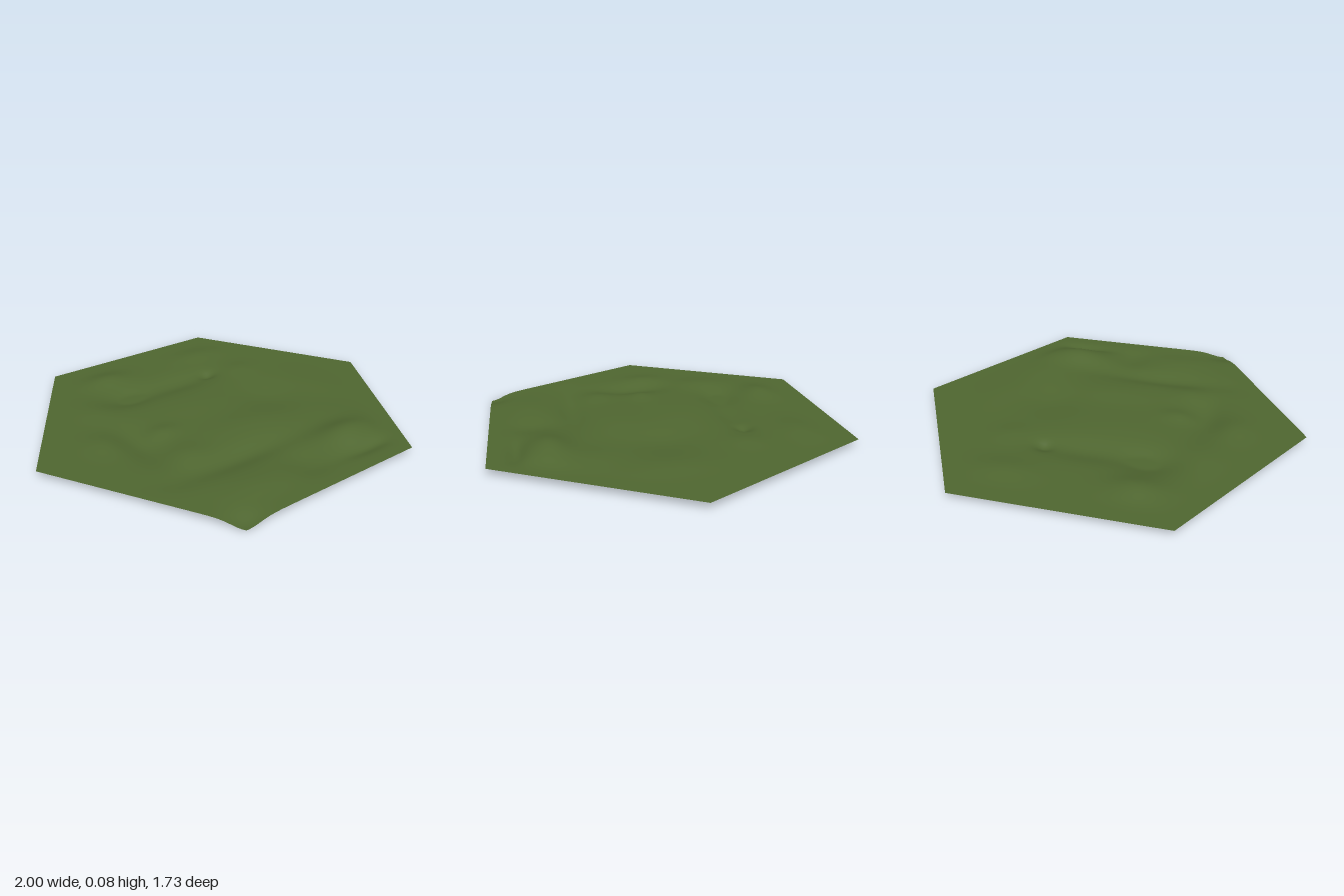
import * as THREE from 'three';

const EDGE_Y = 0.045, FLOOR_Y = 0.021, RINGS = 56, APOTHEM = Math.sqrt(3) / 2;

// Hills and hollows: x, z, width in x, width in z, height
const RELIEF = [
  [0.34, 0.59, 0.13, 0.08, 0.044],
  [0.47, 0.42, 0.10, 0.13, 0.010],
  [0.62, 0.08, 0.09, 0.16, 0.008],
  [0.34, 0.74, 0.12, 0.035, -0.022],
  [-0.29, -0.63, 0.10, 0.07, 0.025],
  [-0.52, -0.32, 0.08, 0.12, 0.012],
  [0.32, -0.63, 0.12, 0.07, 0.014],
  [0.40, -0.34, 0.08, 0.07, 0.010],
  [0.00, -0.38, 0.22, 0.07, -0.024],
  [-0.30, -0.40, 0.10, 0.08, -0.024],
  [-0.65, -0.02, 0.07, 0.09, 0.014],
  [-0.50, 0.08, 0.07, 0.16, -0.024],
  [-0.36, 0.04, 0.07, 0.05, 0.013],
  [-0.10, -0.12, 0.18, 0.12, 0.008],
  [0.02, 0.22, 0.20, 0.10, 0.012],
  [-0.38, 0.28, 0.08, 0.07, 0.012],
  [-0.20, 0.44, 0.26, 0.06, -0.024],
  [0.32, 0.05, 0.12, 0.14, -0.018],
  [-0.28, 0.66, 0.13, 0.08, 0.010],
  [0.02, 0.66, 0.08, 0.10, -0.014],
];

const bump = (x, z, [cx, cz, sx, sz, h]) =>
  h * Math.exp(-(((x - cx) / sx) ** 2 + ((z - cz) / sz) ** 2) / 1.6);

function groundHeight(x, z) {
  // Relief fades to a level rim along the six sides
  const toEdge = APOTHEM - Math.max(Math.abs(z), Math.abs(x) * APOTHEM + Math.abs(z) * 0.5);
  const fade = THREE.MathUtils.smoothstep(toEdge, 0.01, 0.16);
  let y = EDGE_Y;
  for (const r of RELIEF) y += fade * bump(x, z, r);
  y = Math.max(y, FLOOR_Y);
  // Small pit and the sunken front corner
  y += bump(x, z, [0.22, -0.385, 0.035, 0.03, -0.02]);
  y += bump(x, z, [-0.49, 0.85, 0.07, 0.06, -0.025]);
  return Math.max(y, 0);
}

// Hexagonal sheet made of concentric rings
function hexTerrain() {
  const positions = [0, groundHeight(0, 0), 0], index = [];
  const start = (r) => (r === 0 ? 0 : 1 + 3 * r * (r - 1));
  const at = (r, i) => start(r) + (r === 0 ? 0 : i % (6 * r));
  const corner = (s) => [Math.cos(s * Math.PI / 3), Math.sin(s * Math.PI / 3)];
  for (let r = 1; r <= RINGS; r++) {
    for (let s = 0; s < 6; s++) {
      const [ax, az] = corner(s), [bx, bz] = corner(s + 1);
      for (let k = 0; k < r; k++) {
        const t = k / r, f = r / RINGS;
        const x = f * (ax + (bx - ax) * t), z = f * (az + (bz - az) * t);
        positions.push(x, groundHeight(x, z), z);
        const o = s * r + k, n = s * (r - 1) + k;
        index.push(at(r, o), at(r - 1, n), at(r, o + 1));
        if (k < r - 1) index.push(at(r - 1, n), at(r - 1, n + 1), at(r, o + 1));
      }
    }
  }
  const geometry = new THREE.BufferGeometry();
  geometry.setAttribute('position', new THREE.Float32BufferAttribute(positions, 3));
  geometry.setIndex(index);
  geometry.computeVertexNormals();
  return geometry;
}

export function createModel() {
  const grass = new THREE.MeshStandardMaterial({ color: 0x4f6630, side: THREE.DoubleSide });
  grass.name = 'grass green';

  const terrain = new THREE.Mesh(hexTerrain(), grass);
  terrain.name = 'grassTerrain';

  const model = new THREE.Group();
  model.name = 'hexagonalGroundTile';
  model.add(terrain);
  return model;
}
